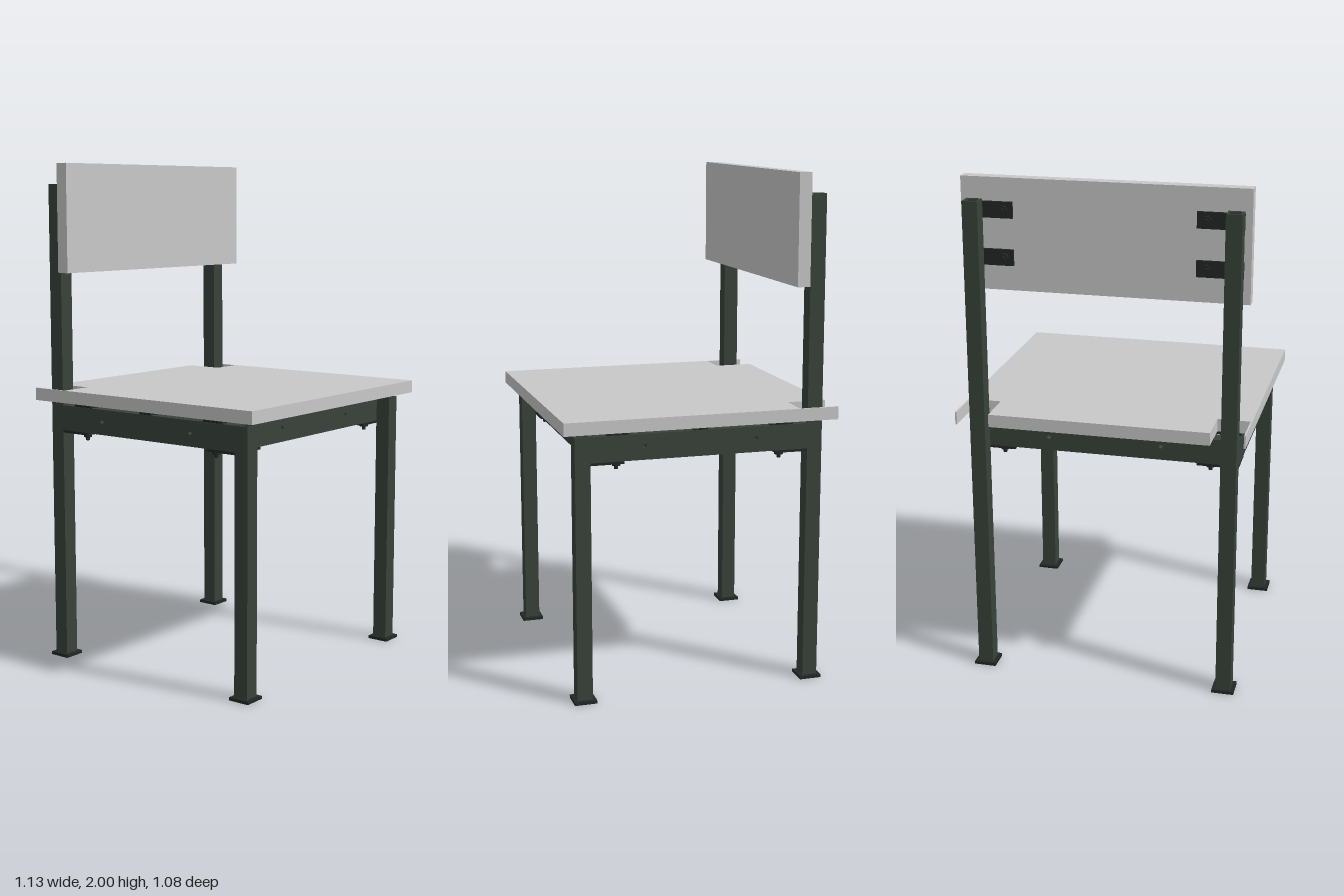
import * as THREE from 'three';

const panelGrey = new THREE.MeshStandardMaterial({ color: 0xc8c8c8 });
const frameGreen = new THREE.MeshStandardMaterial({ color: 0x38423a });
const fittingBlack = new THREE.MeshStandardMaterial({ color: 0x222724 });
panelGrey.name = 'panel grey';
frameGreen.name = 'frame green';
fittingBlack.name = 'fitting black';

const LEG_X = 0.492, LEG_Z = 0.461, TUBE = 0.06;
const RAIL_Y = 0.993, RAIL_H = 0.1, RAIL_Z = 0.402;

export function createModel() {
  const chair = new THREE.Group();
  chair.name = 'chair';

  const add = (name, geometry, material, x = 0, y = 0, z = 0) => {
    const mesh = new THREE.Mesh(geometry, material);
    mesh.name = name;
    mesh.position.set(x, y, z);
    chair.add(mesh);
    return mesh;
  };
  const box = (name, material, w, h, d, x, y, z) =>
    add(name, new THREE.BoxGeometry(w, h, d), material, x, y, z);
  const polygon = points => new THREE.Shape(points.map(p => new THREE.Vector2(...p)));
  const rect = (w, h) => polygon([[-w / 2, -h / 2], [w / 2, -h / 2], [w / 2, h / 2], [-w / 2, h / 2]]);
  const extrude = (shape, depth) =>
    new THREE.ExtrudeGeometry(shape, { depth, bevelEnabled: false, curveSegments: 8 });
  // Shape drawn in (x, -z), extruded upwards
  const extrudeUp = (shape, height) => extrude(shape, height).rotateX(-Math.PI / 2);

  // Seat board, notched around the back posts with a thin strip left at each side
  const half = [[0.563, -0.541], [0.563, 0.541], [0.556, 0.541], [0.556, 0.385], [0.43, 0.385], [0.43, 0.541]];
  const mirrored = half.map(([x, y]) => [-x, y]).reverse();
  add('seat', extrudeUp(polygon([...half, ...mirrored]), 0.05), panelGrey, 0, 1.06, 0);

  // Backrest board
  box('backrest', panelGrey, 1.096, 0.427, 0.05, 0, 1.7865, -0.395);

  // Hollow square legs with foot plates
  const tube = rect(TUBE, TUBE);
  tube.holes.push(rect(TUBE - 0.016, TUBE - 0.016));
  for (const sx of [-1, 1]) {
    for (const sz of [-1, 1]) {
      const x = sx * LEG_X, z = sz * LEG_Z, top = sz < 0 ? 1.92 : 1.043;
      add(sz < 0 ? 'backPost' : 'frontLeg', extrudeUp(tube, top - 0.012), frameGreen, x, 0.012, z);
      box('foot', fittingBlack, 0.088, 0.012, 0.088, x, 0.006, z);
      add('footBolt', new THREE.CylinderGeometry(0.012, 0.012, 0.012, 12), fittingBlack, x, 0.018, z);
    }
  }

  // Rails with two cross-drilled holes each
  const rail = (name, length, x, z, turned) => {
    const shape = rect(length, RAIL_H);
    for (const s of [-1, 1]) {
      const hole = new THREE.Path();
      hole.absarc(s * 0.222, 0.003, 0.008, 0, Math.PI * 2, true);
      shape.holes.push(hole);
    }
    const geometry = extrude(shape, TUBE).translate(0, 0, -TUBE / 2);
    if (turned) geometry.rotateY(Math.PI / 2);
    add(name, geometry, frameGreen, x, RAIL_Y, z);
  };
  rail('frontRail', 2 * (LEG_X - TUBE / 2), 0, RAIL_Z, false);
  rail('backRail', 2 * (LEG_X - TUBE / 2), 0, -RAIL_Z, false);
  for (const s of [-1, 1]) rail('sideRail', 2 * (LEG_Z - TUBE / 2), s * LEG_X, 0, true);

  // L-shaped corner plates bolted under the rails
  const bolt = (name, radius, length, x, y, z) =>
    add(name, new THREE.CylinderGeometry(radius, radius, length, 12), fittingBlack, x, y, z);
  for (const sx of [-1, 1]) {
    for (const sz of [-1, 1]) {
      box('cornerPlate', fittingBlack, 0.162, 0.01, 0.058, sx * 0.441, 0.938, sz * RAIL_Z);
      box('cornerPlate', fittingBlack, 0.058, 0.01, 0.073, sx * LEG_X, 0.938, sz * 0.3365);
      for (const [x, z] of [[0.41, RAIL_Z], [LEG_X, 0.325]]) {
        bolt('cornerBoltHead', 0.017, 0.012, sx * x, 0.928, sz * z);
        bolt('cornerBoltTip', 0.008, 0.014, sx * x, 0.916, sz * z);
      }
    }
    // Seat tabs between the side rails and the seat
    for (const [z, depth] of [[-0.325, 0.13], [0, 0.08], [0.325, 0.13]]) {
      box('seatTab', fittingBlack, 0.165, 0.008, depth, sx * 0.4325, 1.055, z);
      box('seatTabSpacer', fittingBlack, 0.055, 0.01, depth * 0.7, sx * LEG_X, 1.047, z);
      bolt('seatBolt', 0.016, 0.01, sx * 0.38, 1.047, z);
    }
    // Backrest brackets with bolt heads
    for (const y of [1.88, 1.7]) {
      box('backrestBracket', fittingBlack, 0.175, 0.062, 0.01, sx * 0.4345, y, -0.4255);
      for (const [r, length] of [[0.018, 0.012], [0.009, 0.022]]) {
        bolt('backrestBolt', r, length, sx * 0.383, y, -0.43 - length / 2).rotation.x = Math.PI / 2;
      }
    }
  }

  return chair;
}
